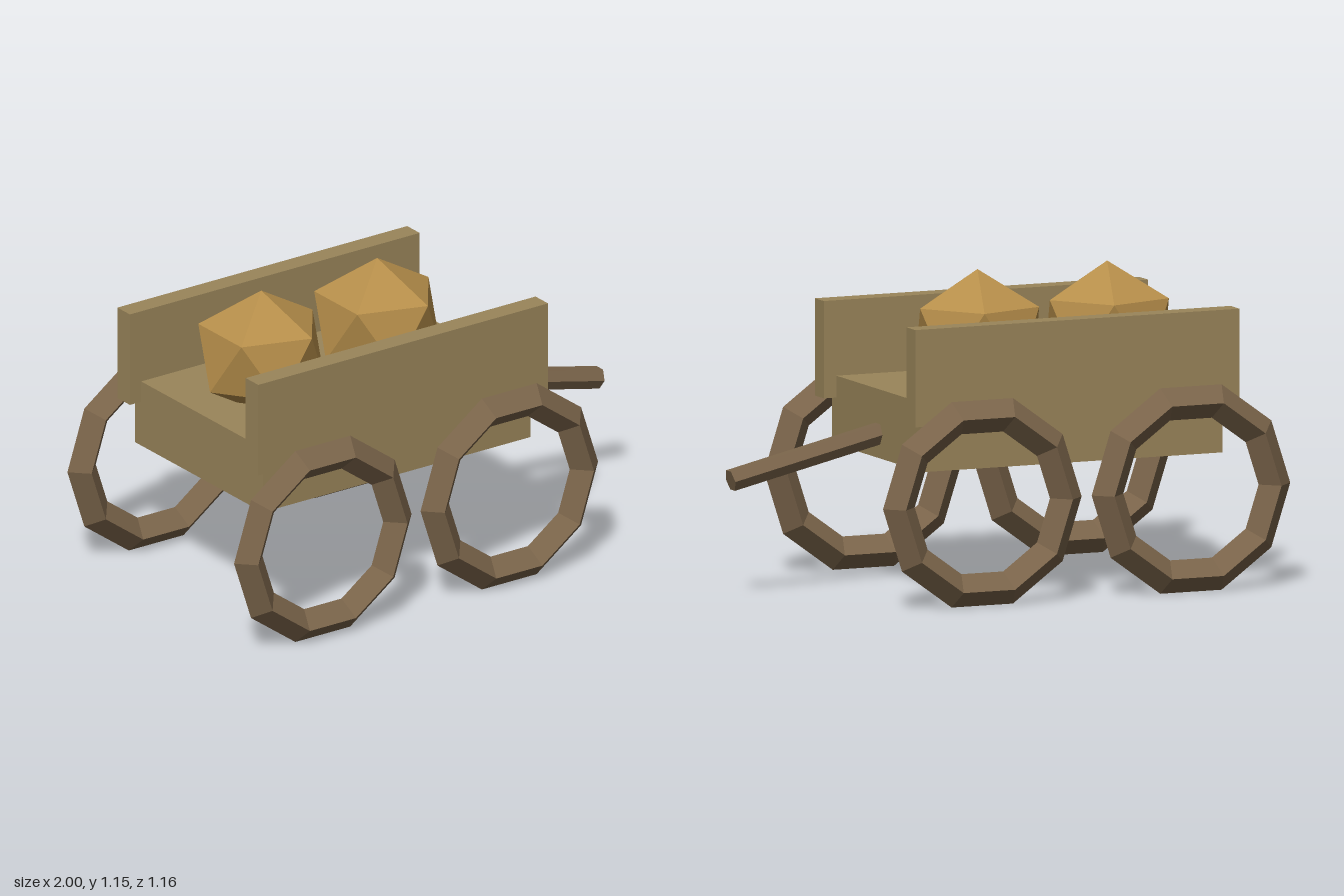
import * as THREE from 'three';

export function createModel() {
  const group = new THREE.Group();
  const material = (name, color) => {
    const m = new THREE.MeshStandardMaterial({ color, flatShading: true });
    m.name = name;
    return m;
  };
  const wood = material('wood', 0x9a855a);
  const darkWood = material('darkWood', 0x7a644a);
  const straw = material('straw', 0xb68e4a);

  const add = (name, geometry, mat, x, y, z) => {
    const mesh = new THREE.Mesh(geometry, mat);
    mesh.name = name;
    mesh.position.set(x, y, z);
    group.add(mesh);
    return mesh;
  };

  // Cart bed
  add('bed', new THREE.BoxGeometry(1.19, 0.252, 0.794), wood, -0.19, 0.611, 0);

  // Side boards and ring wheels, mirrored front to back
  const board = new THREE.BoxGeometry(1.29, 0.356, 0.078);
  const wheel = new THREE.TorusGeometry(0.332, 0.063, 4, 10);
  for (const side of [1, -1]) {
    add('sideBoard', board, wood, -0.19, 0.835, side * 0.399);
    for (const x of [-0.605, 0.225]) add('wheel', wheel, darkWood, x, 0.378, side * 0.518);
  }

  // Two faceted bales, each standing on a point sunk into the bed
  const bale = new THREE.IcosahedronGeometry(1, 0);
  bale.rotateZ(-Math.atan(2 / (1 + Math.sqrt(5))));
  bale.scale(0.255, 0.238, 0.255);
  for (const x of [-0.508, 0.008]) add('bale', bale, straw, x, 0.913, 0);

  // Sloping six-sided draw pole
  const length = 0.72, tilt = 0.2286;
  const pole = add('drawPole', new THREE.CylinderGeometry(0.042, 0.042, length, 6), darkWood,
    0.99 - Math.cos(tilt) * length / 2, 0.437 + Math.sin(tilt) * length / 2, 0);
  pole.rotation.z = -Math.PI / 2 - tilt;

  return group;
}
